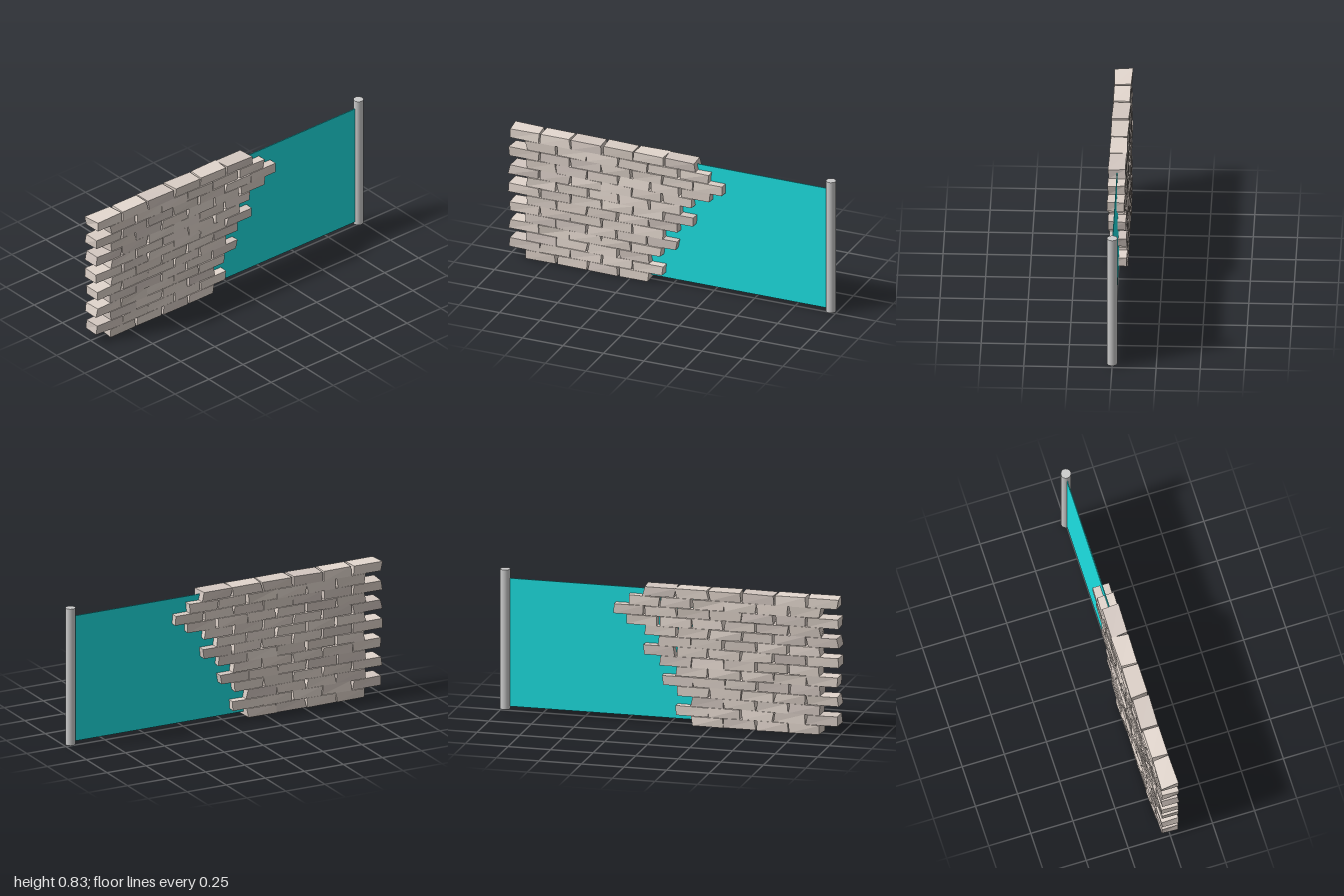
import * as THREE from 'three';

// Small seeded generator, returns 0..1
function makeRandom(seed) {
  let s = seed;
  return () => {
    s = (s * 16807) % 2147483647;
    return s / 2147483647;
  };
}

// Box whose eight corners are each pulled slightly out of true
function roughBrick(width, height, length, rand) {
  const geo = new THREE.BoxGeometry(width, height, length);
  const offsets = Array.from({ length: 8 }, () => [rand() * 0.008, rand() * 0.004, rand() * 0.016]);
  const pos = geo.attributes.position;
  for (let i = 0; i < pos.count; i++) {
    const p = [pos.getX(i), pos.getY(i), pos.getZ(i)];
    const corner = (p[0] > 0 ? 1 : 0) + (p[1] > 0 ? 2 : 0) + (p[2] > 0 ? 4 : 0);
    const o = offsets[corner];
    pos.setXYZ(i, ...p.map((v, k) => v - Math.sign(v) * o[k]));
  }
  geo.computeVertexNormals();
  return geo;
}

export function createModel() {
  const model = new THREE.Group();
  model.name = 'brickWallWithPanel';
  const rand = makeRandom(4711);

  const brickMats = [0xe2d6cd, 0xdbcfc6, 0xd5c9c2, 0xe5d9d0].map(
    (color) => new THREE.MeshStandardMaterial({ color, flatShading: true }));
  const panelMat = new THREE.MeshStandardMaterial({ color: 0x1ce0e2 });
  const poleMat = new THREE.MeshStandardMaterial({ color: 0xcccccc });

  // Wall: staggered courses, toothed at the front and ragged at the back
  // Each entry is [brick count, z of the ragged end], bottom course first
  const courses = [
    [4, 0.13], [5, 0.04], [4, 0.13], [5, 0.05], [5, -0.04], [5, 0.04], [5, -0.05],
    [6, -0.15], [5, -0.06], [6, -0.14], [6, -0.25], [7, -0.33], [6, -0.24], [6, -0.15],
  ];
  const rowHeight = 0.8 / courses.length;
  const wall = new THREE.Group();
  wall.name = 'wall';
  courses.forEach(([count, end], row) => {
    const start = row % 2 ? 1.0 : 0.895;
    const pitch = (start - end) / count;
    for (let i = 0; i < count; i++) {
      const geo = roughBrick(0.108, rowHeight + 0.002, pitch + 0.006, rand);
      const brick = new THREE.Mesh(geo, brickMats[Math.floor(rand() * brickMats.length)]);
      brick.name = 'brick';
      brick.position.set(0, (row + 0.5) * rowHeight, start - (i + 0.5) * pitch);
      wall.add(brick);
    }
  });
  model.add(wall);

  // Thin coloured panel between wall and pole
  const panel = new THREE.Mesh(new THREE.BoxGeometry(0.005, 0.752, 1.17), panelMat);
  panel.name = 'panel';
  panel.position.set(0, 0.401, -0.385);
  model.add(panel);

  // End pole
  const pole = new THREE.Mesh(new THREE.CylinderGeometry(0.029, 0.029, 0.82, 24), poleMat);
  pole.name = 'pole';
  pole.position.set(0, 0.42, -0.971);
  model.add(pole);

  return model;
}
